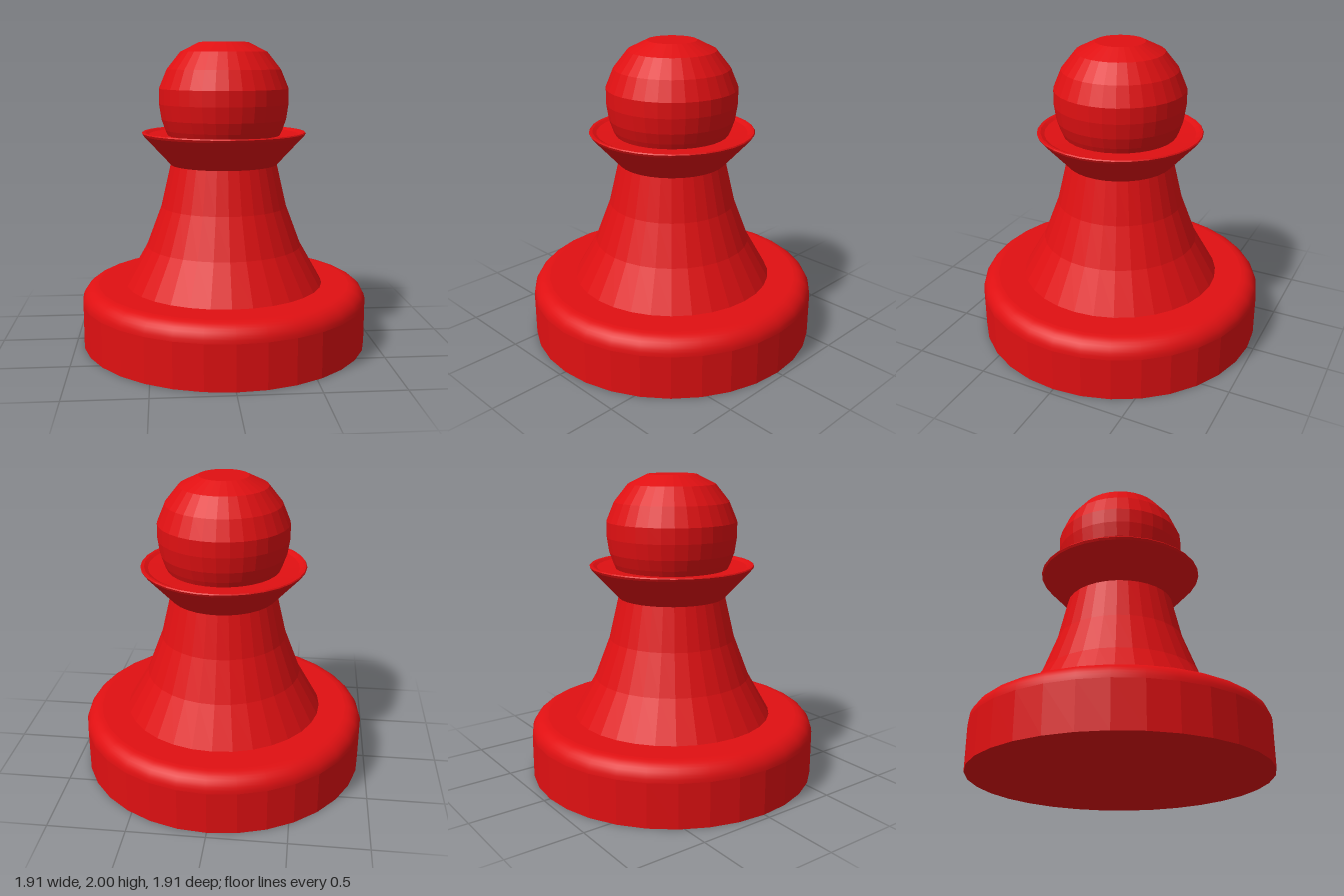
import * as THREE from 'three';

const SIDES = 32;
const COLOR = 0xe01012;

// Turned part from [radius, height] points, listed from bottom to top.
function turned(name, profile, flatShading = true) {
  const points = profile.map(([r, y]) => new THREE.Vector2(r, y));
  const material = new THREE.MeshStandardMaterial({ color: COLOR, flatShading });
  const mesh = new THREE.Mesh(new THREE.LatheGeometry(points, SIDES), material);
  mesh.name = name;
  return mesh;
}

export function createModel() {
  const group = new THREE.Group();
  group.name = 'pawn';

  // Base: faceted wall, smooth rounded shoulder, flat top
  const radius = 0.957, top = 0.4, round = 0.11;
  const shoulder = [];
  for (let i = 0; i <= 8; i++) {
    const a = (i / 8) * Math.PI / 2;
    shoulder.push([radius - round + round * Math.cos(a), top - round + round * Math.sin(a)]);
  }
  const base = new THREE.Group();
  base.name = 'base';
  base.add(
    turned('baseWall', [[0, 0], [radius, 0], [radius, top - round]]),
    turned('baseShoulder', shoulder, false),
    turned('baseTop', [[radius - round, top], [0.6, top]]),
  );
  group.add(base);

  // Tapering stem
  group.add(turned('stem', [[0.665, 0.4], [0.52, 0.655], [0.42, 0.92], [0.355, 1.2]]));

  // Flared collar with a thin rolled lip
  group.add(turned('collar', [
    [0.3, 1.2], [0.355, 1.2], [0.535, 1.395], [0.543, 1.41],
    [0.538, 1.417], [0.52, 1.415], [0.495, 1.403], [0.3, 1.39],
  ]));

  // Faceted ball head with a flat crown
  group.add(turned('head', [
    [0.365, 1.38], [0.388, 1.43], [0.412, 1.5], [0.427, 1.6], [0.427, 1.7],
    [0.375, 1.825], [0.285, 1.938], [0.16, 2], [0, 2],
  ]));

  return group;
}
